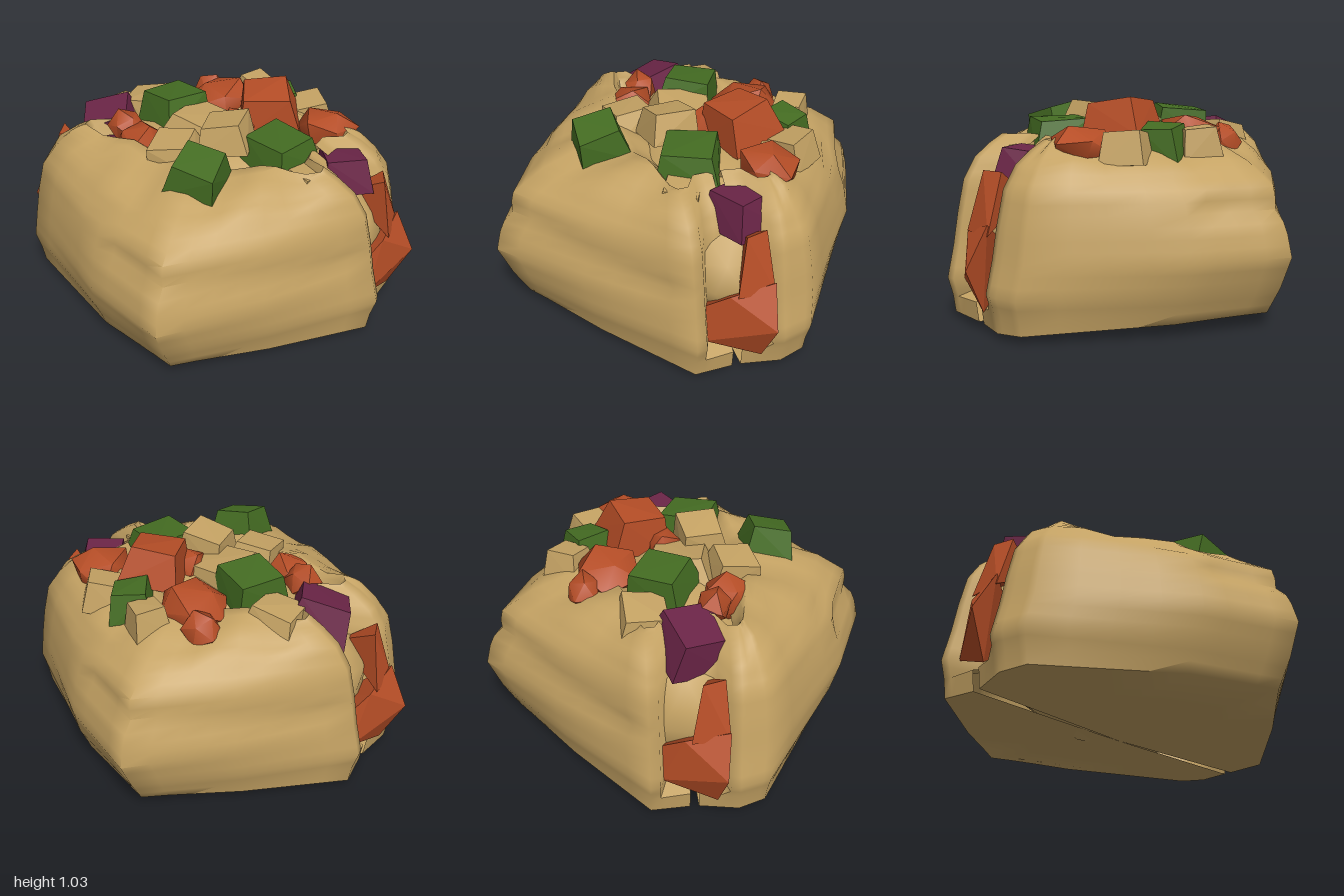
import * as THREE from 'three';
import { toCreasedNormals, mergeVertices } from 'three/addons/utils/BufferGeometryUtils.js';
import { ConvexGeometry } from 'three/addons/geometries/ConvexGeometry.js';

const material = (name, color, side = THREE.FrontSide) => {
  const m = new THREE.MeshStandardMaterial({ color, side });
  m.name = name;
  return m;
};

// Small seeded generator, returns -1..1
let seed = 7;
const rnd = () => {
  seed = (seed * 16807) % 2147483647;
  return (seed / 2147483647) * 2 - 1;
};

// Linear sample of a list of number rows, t from 0 to 1
const sample = (rows, t) => {
  const s = t * (rows.length - 1);
  const i = Math.min(Math.floor(s), rows.length - 2);
  return rows[i].map((v, k) => THREE.MathUtils.lerp(v, rows[i + 1][k], s - i));
};

// Plan outline of one bread half, from its left end round the front: x, z
const OUTLINE = [
  [0.88, 0.02], [0.9, 0.2], [0.51, 0.62], [0.13, 0.97],
  [-0.3, 0.78], [-0.88, 0.35], [-0.92, 0.2], [-0.88, 0.02],
];
// Wall section from the base to the rim: y, x scale, z scale
const SECTION = [
  [0.07, 0.97, 0.83], [0.2, 1.01, 0.92], [0.35, 0.97, 1], [0.5, 0.94, 0.95],
  [0.65, 0.9, 0.86], [0.75, 0.83, 0.67], [0.81, 0.74, 0.46], [0.85, 0.66, 0.18], [0.77, 0.6, 0],
];

function breadGeometry() {
  const cols = 28, base = 3, rows = base + 24, pos = [], idx = [];
  for (let j = 0; j <= rows; j++) {
    const [level, sx, sz] = sample(SECTION, Math.max(0, j - base) / (rows - base));
    const spread = Math.min(1, j / base);
    for (let i = 0; i <= cols; i++) {
      const [ox, oz] = sample(OUTLINE, i / cols);
      let x = ox * sx * spread, y = level;
      let z = (oz > 0.2 ? 0.2 + (oz - 0.2) * sz : oz) * spread;
      // underside rises slightly towards the front
      if (j <= base) y *= spread * (0.25 + 0.75 * Math.min(1, oz / 0.9));
      // open seam at the ends
      if (oz < 0.15 && y > 0.12) x *= 0.86;
      // sagging fold across the front and pleats near the rim
      if (oz > 0.3 && y > 0.25) {
        const foldY = 0.57 - (x > -0.22 ? 0.16 * Math.max(0, x) : (x + 0.22) * 2.2);
        z -= 0.035 * Math.exp(-(((y - foldY) / 0.045) ** 2));
        if (y > 0.68) y += 0.018 * Math.sin(x * 19 + 1) * Math.min(1, (y - 0.68) * 9);
      }
      pos.push(x, y, z);
      if (i < cols && j < rows) {
        const a = j * (cols + 1) + i, b = a + cols + 1;
        idx.push(a, b, a + 1, a + 1, b, b + 1);
      }
    }
  }
  const g = new THREE.BufferGeometry();
  g.setAttribute('position', new THREE.Float32BufferAttribute(pos, 3));
  g.setIndex(idx);
  return toCreasedNormals(g, 1.2);
}

// Rounded lump with vertices nudged by the seeded generator
function lumpGeometry(detail, jitter) {
  let g = new THREE.IcosahedronGeometry(1, detail);
  g.deleteAttribute('normal');
  g.deleteAttribute('uv');
  g = mergeVertices(g, 1e-3);
  const p = g.attributes.position;
  for (let i = 0; i < p.count; i++) {
    const s = 1 + rnd() * jitter;
    p.setXYZ(i, p.getX(i) * s, p.getY(i) * s, p.getZ(i) * s);
  }
  return toCreasedNormals(g, 0.8);
}

// Tapered, uneven cut cube
function cubeGeometry() {
  const pts = [];
  for (const x of [-1, 1]) for (const y of [-1, 1]) for (const z of [-1, 1]) {
    const s = (y > 0 ? 0.78 : 1) * (1 + rnd() * 0.1);
    pts.push(new THREE.Vector3(x * s, y * (1 + rnd() * 0.12), z * s));
  }
  return new ConvexGeometry(pts);
}

// Vegetable pieces by kind: x, y, z of the centre and half width
const PEPPERS = [[0.35, 0.83, 0.08, 0.14], [-0.26, 0.87, -0.1, 0.14], [0.17, 0.83, -0.45, 0.1], [0.1, 0.86, 0.44, 0.12]];
const ONIONS = [[0.63, 0.72, -0.07, 0.12], [-0.57, 0.76, 0.01, 0.14]];
const TOMATO_CUBES = [[0.19, 0.92, -0.21, 0.14]];
const TOMATO_LUMPS = [
  [-0.1, 0.84, -0.35, 0.17], [0.48, 0.82, -0.26, 0.16], [-0.22, 0.81, -0.46, 0.09],
  [0.1, 0.85, -0.07, 0.09], [-0.31, 0.8, 0.2, 0.13], [-0.42, 0.83, 0.12, 0.09],
];
const CRUMBS = [
  [0.1, 0.9, 0.11, 0.12], [-0.06, 0.84, 0, 0.16], [0.02, 0.82, -0.53, 0.09],
  [0.34, 0.81, -0.42, 0.1], [-0.1, 0.83, 0.25, 0.12], [-0.45, 0.8, -0.19, 0.12], [0.5, 0.75, 0.16, 0.1],
];

export function createModel() {
  seed = 7;
  const model = new THREE.Group();
  model.name = 'filledBread';
  const mats = {
    bread: material('bread tan', 0xc4a263, THREE.DoubleSide),
    tomato: material('tomato red', 0xb54d26),
    pepper: material('pepper green', 0x446c22),
    onion: material('onion purple', 0x6b2547),
  };
  const add = (name, geometry, mat, parent = model) => {
    const mesh = new THREE.Mesh(geometry, mats[mat]);
    mesh.name = name;
    parent.add(mesh);
    return mesh;
  };

  // Two bread halves and the end fillings, turned half round for the back
  const bread = breadGeometry();
  const hull = (pts) => new ConvexGeometry(pts.map((p) => new THREE.Vector3(...p)));
  const endLower = hull([[0.8, 0.35, 0.18], [0.85, 0.2, 0.15], [0.9, 0.1, -0.1],
    [1, 0.31, -0.13], [0.9, 0.5, -0.15], [0.88, 0.45, 0.05], [0.65, 0.3, 0]]);
  const endUpper = hull([[0.84, 0.72, -0.03], [0.81, 0.72, -0.13], [0.9, 0.45, -0.15],
    [0.9, 0.45, 0.02], [0.65, 0.6, -0.08]]);
  for (const side of ['front', 'back']) {
    const half = new THREE.Group();
    half.name = side + 'Half';
    half.rotation.y = side === 'back' ? Math.PI : 0;
    add(side + 'Bread', bread, 'bread', half);
    add(side + 'EndTomato', endLower, 'tomato', half);
    add(side + 'EndTomatoStrip', endUpper, 'tomato', half);
    model.add(half);
  }

  // Pale filling under the vegetables
  const core = add('fillingCore', lumpGeometry(3, 0.035), 'bread');
  core.scale.set(0.83, 0.43, 0.42);
  core.position.set(0, 0.43, -0.03);

  // Scattered pieces, each turned and tilted a little differently
  const scatter = (name, mat, makeGeometry, pieces, height) => pieces.forEach(([x, y, z, r], i) => {
    const mesh = add(name + (i + 1), makeGeometry(), mat);
    mesh.position.set(x, y, z);
    mesh.scale.set(r, height, r);
    mesh.rotation.set(rnd() * 0.2, rnd() * 0.6, rnd() * 0.2);
  });
  const lump = () => lumpGeometry(0, 0.12);
  scatter('pepper', 'pepper', cubeGeometry, PEPPERS, 0.08);
  scatter('onion', 'onion', cubeGeometry, ONIONS, 0.09);
  scatter('tomatoCube', 'tomato', cubeGeometry, TOMATO_CUBES, 0.09);
  scatter('tomatoLump', 'tomato', lump, TOMATO_LUMPS, 0.1);
  scatter('breadCrumb', 'bread', cubeGeometry, CRUMBS, 0.07);
  return model;
}
